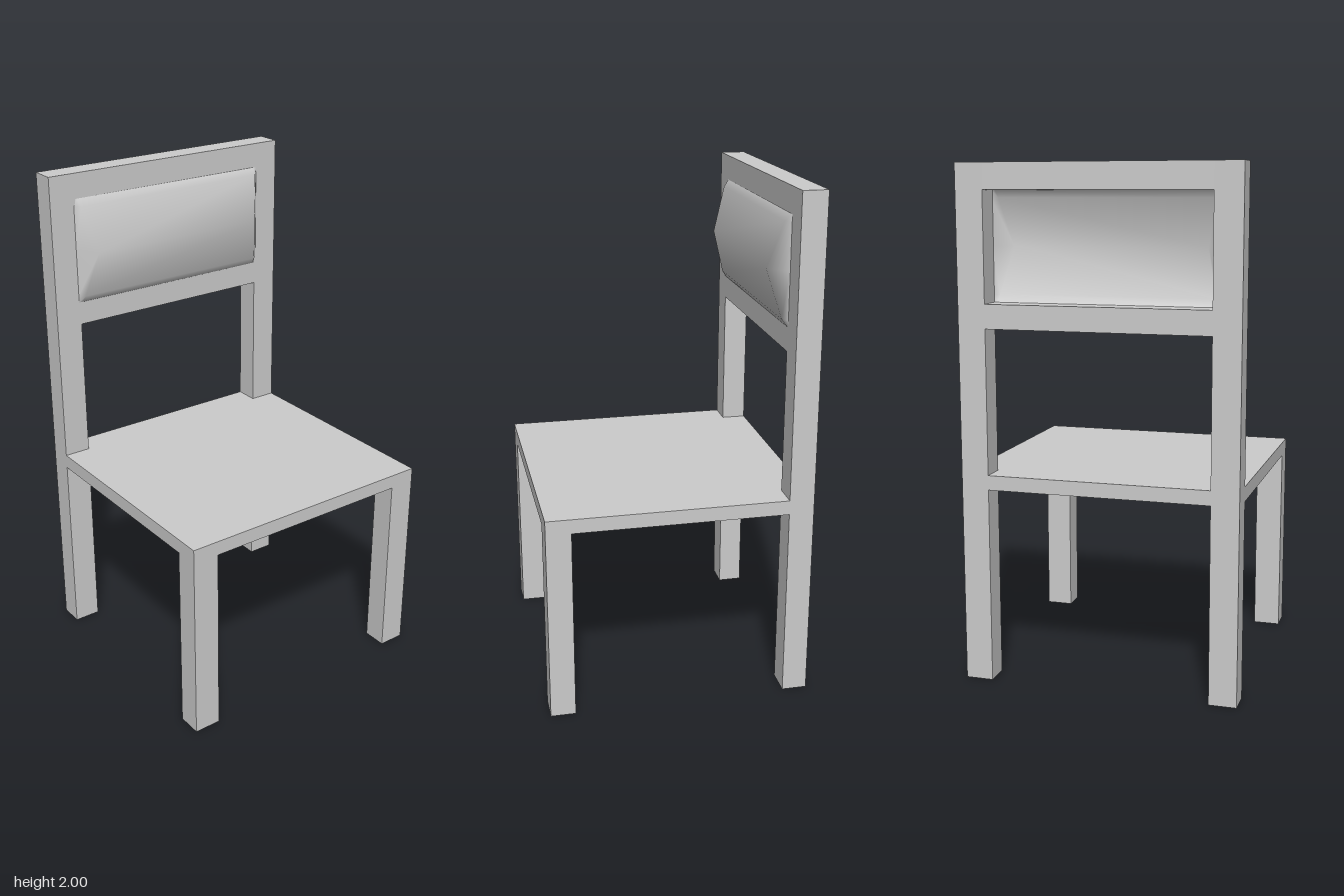
import * as THREE from 'three';

const HALF_W = 0.543, INNER_W = 0.435; // outer and inner faces of the posts
const FRONT = 0.518, BACK = -0.518, POST_Z = -0.42;
const SEAT_LOW = 0.768, SEAT_TOP = 0.825;

// Box given by its limits; openBottom leaves out the underside
function box(name, [x0, x1], [y0, y1], [z0, z1], material, openBottom = false) {
  const g = new THREE.BoxGeometry(x1 - x0, y1 - y0, z1 - z0);
  if (openBottom) {
    const index = Array.from(g.index.array);
    index.splice(18, 6);
    g.setIndex(index);
    g.clearGroups();
  }
  const mesh = new THREE.Mesh(g, material);
  mesh.position.set((x0 + x1) / 2, (y0 + y1) / 2, (z0 + z1) / 2);
  mesh.name = name;
  return mesh;
}

// Open-backed pad: rows from bottom to top, bulging to a ridge at mid height
function cushionGeometry() {
  const rows = [ // y, z of the inner columns, half width of the inner columns
    [1.48, -0.42, 0.425],
    [1.508, -0.4, 0.42],
    [1.692, -0.347, 0.38],
    [1.872, -0.4, 0.42],
    [1.9, -0.42, 0.425],
  ];
  const points = [], index = [];
  for (const [y, z, w] of rows) {
    points.push(-0.441, y, -0.42, -w, y, z, w, y, z, 0.441, y, -0.42);
  }
  for (let r = 0; r < rows.length - 1; r++) {
    for (let c = 0; c < 3; c++) {
      const a = r * 4 + c;
      index.push(a, a + 1, a + 5, a, a + 5, a + 4);
    }
  }
  const g = new THREE.BufferGeometry();
  g.setAttribute('position', new THREE.Float32BufferAttribute(points, 3));
  g.setIndex(index);
  g.computeVertexNormals();
  return g;
}

export function createModel() {
  const chair = new THREE.Group();
  chair.name = 'chair';
  const material = new THREE.MeshStandardMaterial({ color: 0xcccccc, side: THREE.DoubleSide });

  // Legs and back posts, hollow from below
  for (const [side, x] of [['left', [INNER_W, HALF_W]], ['right', [-HALF_W, -INNER_W]]]) {
    chair.add(box(`${side}FrontLeg`, x, [0, SEAT_LOW], [POST_Z + 0.84, FRONT], material, true));
    chair.add(box(`${side}BackPost`, x, [0, 2], [BACK, POST_Z], material, true));
  }

  // Seat and its strip between the posts
  chair.add(box('seat', [-HALF_W, HALF_W], [SEAT_LOW, SEAT_TOP], [POST_Z, FRONT], material));

  // Rails between the posts
  const rails = { seatRail: [SEAT_LOW, SEAT_TOP], lowerBackRail: [1.387, 1.48], topRail: [1.9, 2] };
  for (const [name, y] of Object.entries(rails)) {
    chair.add(box(name, [-INNER_W, INNER_W], y, [BACK, POST_Z], material));
  }

  // Back cushion
  const cushion = new THREE.Mesh(cushionGeometry(), material);
  cushion.name = 'backCushion';
  chair.add(cushion);

  return chair;
}
